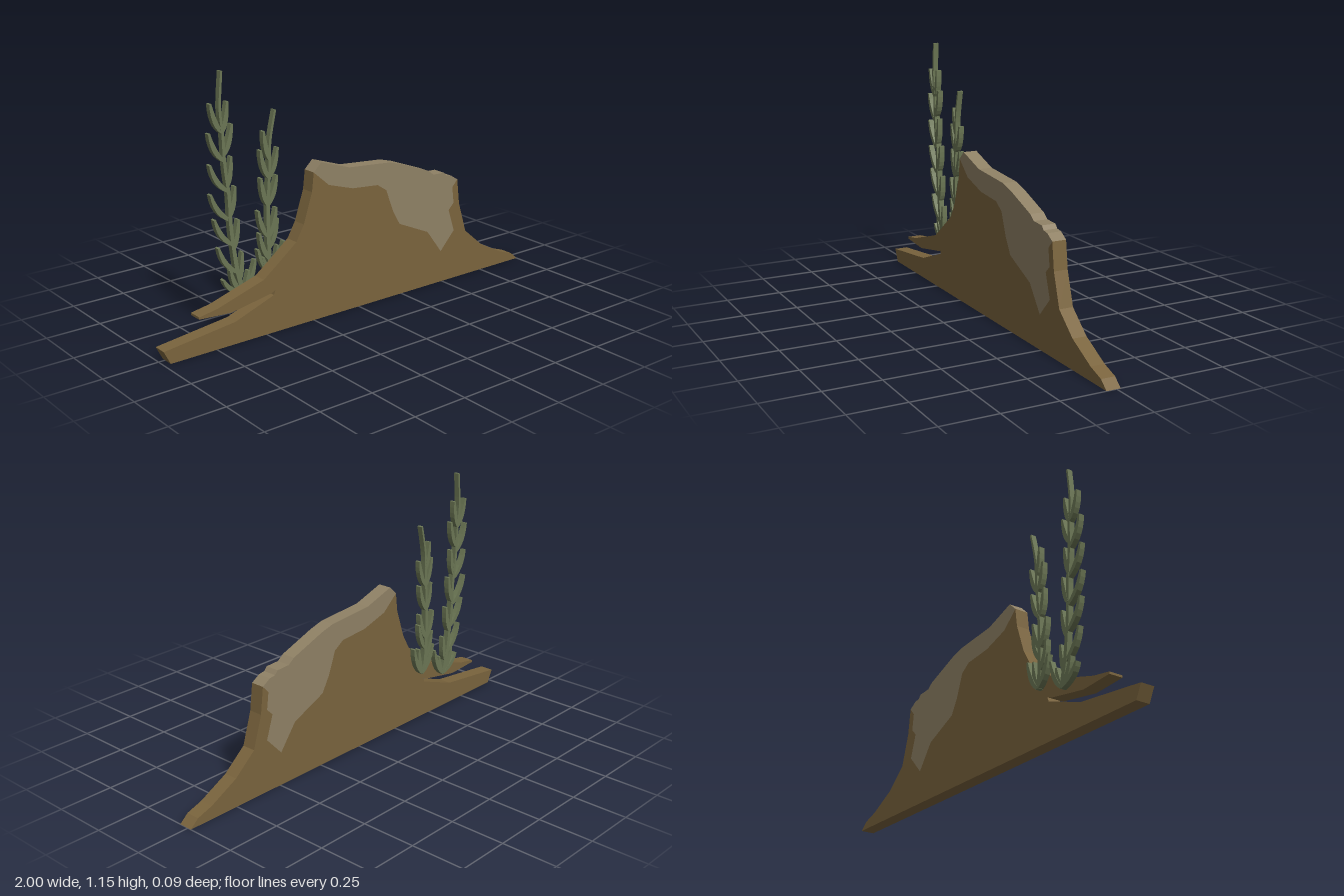
import * as THREE from 'three';

const rockMat = new THREE.MeshStandardMaterial({ color: 0x7a643d });
const capMat = new THREE.MeshStandardMaterial({ color: 0x8f8165 });
const plantMat = new THREE.MeshStandardMaterial({ color: 0x6b7654 });

// Flat slab cut from an outline, between two depths
function slab(name, points, z0, z1, material) {
  const shape = new THREE.Shape(points.map(([x, y]) => new THREE.Vector2(x, y)));
  const geo = new THREE.ExtrudeGeometry(shape, { depth: z1 - z0, bevelEnabled: false });
  geo.translate(0, 0, z0);
  const mesh = new THREE.Mesh(geo, material);
  mesh.name = name;
  return mesh;
}

// Outline of a ribbon that follows a curve; width is a function of t
function ribbon(curve, steps, width) {
  const a = [], b = [];
  for (let i = 0; i <= steps; i++) {
    const t = i / steps, p = curve.getPoint(t), d = curve.getTangent(t), w = width(t) / 2;
    a.push([p.x + d.y * w, p.y - d.x * w]);
    b.unshift([p.x - d.y * w, p.y + d.x * w]);
  }
  return [...a, ...b];
}

const v2 = ([x, y]) => new THREE.Vector2(x, y);
const BACK = -0.043, FRONT = -0.018;

// Upright plant: wavy stem, leaves curving out and up, fan of leaves at the base
function plant(name, stemPoints, tips, fanTips) {
  const group = new THREE.Group();
  group.name = name;
  const stem = new THREE.SplineCurve(stemPoints.map(v2));
  group.add(slab('stem', ribbon(stem, 32, t => 0.022 - 0.012 * t), BACK, FRONT, plantMat));

  const stemX = y => {
    let i = 1;
    while (i < stemPoints.length - 1 && stemPoints[i][1] < y) i++;
    const [x0, y0] = stemPoints[i - 1], [x1, y1] = stemPoints[i];
    return THREE.MathUtils.lerp(x0, x1, THREE.MathUtils.clamp((y - y0) / (y1 - y0), 0, 1));
  };
  const leaf = (root, tip, i) => {
    const bend = [root[0] + (tip[0] - root[0]) * 0.75, root[1] + (tip[1] - root[1]) * 0.3];
    const curve = new THREE.QuadraticBezierCurve(v2(root), v2(bend), v2(tip));
    const shift = (i % 3 - 1) * 0.001;
    group.add(slab('leaf', ribbon(curve, 6, t => 0.008 + 0.014 * Math.sin(Math.PI * (0.1 + 0.85 * t))),
      BACK + shift, FRONT + Math.min(shift, 0), plantMat));
  };
  tips.forEach((tip, i) => {
    const y = Math.max(tip[1] - 0.125, stemPoints[0][1]);
    leaf([stemX(y), y], tip, i);
  });
  fanTips.forEach((tip, i) => leaf(stemPoints[0], tip, i));
  return group;
}

export function createModel() {
  const model = new THREE.Group();
  model.name = 'rockWithPlants';

  // Rock silhouette, split along the lower border of the pale cap
  const leftSide = [
    [-0.97, 0], [-1, 0.06], [-0.655, 0.1], [-0.46, 0.17], [-0.452, 0.19], [-0.475, 0.18],
    [-0.675, 0.145], [-0.83, 0.155], [-0.83, 0.165], [-0.74, 0.18], [-0.51, 0.25],
    [-0.45, 0.295], [-0.34, 0.38], [-0.3, 0.45], [-0.255, 0.585], [-0.245, 0.67],
  ];
  const capTop = [
    [-0.205, 0.708], [-0.055, 0.658], [0.17, 0.64], [0.235, 0.622], [0.405, 0.558],
    [0.435, 0.535], [0.5, 0.532], [0.515, 0.515], [0.545, 0.51],
  ];
  const capBorder = [
    [-0.165, 0.6], [-0.035, 0.56], [0.105, 0.548], [0.155, 0.515], [0.195, 0.41],
    [0.235, 0.34], [0.405, 0.265], [0.49, 0.152], [0.57, 0.238], [0.535, 0.345],
    [0.565, 0.375], [0.555, 0.452],
  ];
  const rightSide = [
    [0.585, 0.485], [0.6, 0.365], [0.645, 0.22], [0.75, 0.13], [0.885, 0.06],
    [0.96, 0.035], [1, 0],
  ];
  model.add(slab('rockBody', [...leftSide, ...capBorder, ...rightSide], FRONT, 0.046, rockMat));
  model.add(slab('rockCap', [leftSide.at(-1), ...capTop, rightSide[0], ...capBorder.slice().reverse()],
    FRONT, 0.046, capMat));

  // Plants behind the ledge
  model.add(plant('tallPlant',
    [[-0.57, 0.185], [-0.595, 0.28], [-0.607, 0.355], [-0.623, 0.49], [-0.628, 0.623],
      [-0.644, 0.757], [-0.65, 0.89], [-0.66, 0.997], [-0.648, 1.147]],
    [[-0.703, 1.02], [-0.714, 0.9], [-0.714, 0.77], [-0.714, 0.645], [-0.7, 0.535], [-0.685, 0.41],
      [-0.623, 1.02], [-0.605, 0.925], [-0.612, 0.79], [-0.596, 0.66], [-0.585, 0.515], [-0.57, 0.37]],
    [[-0.665, 0.265], [-0.63, 0.3], [-0.54, 0.28], [-0.505, 0.32]]));
  model.add(plant('shortPlant',
    [[-0.415, 0.235], [-0.432, 0.3], [-0.437, 0.435], [-0.435, 0.57], [-0.425, 0.7],
      [-0.42, 0.82], [-0.392, 0.952]],
    [[-0.45, 0.868], [-0.468, 0.79], [-0.468, 0.67], [-0.484, 0.53], [-0.48, 0.43],
      [-0.382, 0.79], [-0.388, 0.67], [-0.394, 0.53], [-0.388, 0.48]],
    [[-0.49, 0.36], [-0.465, 0.32], [-0.39, 0.36], [-0.355, 0.37]]));
  return model;
}
